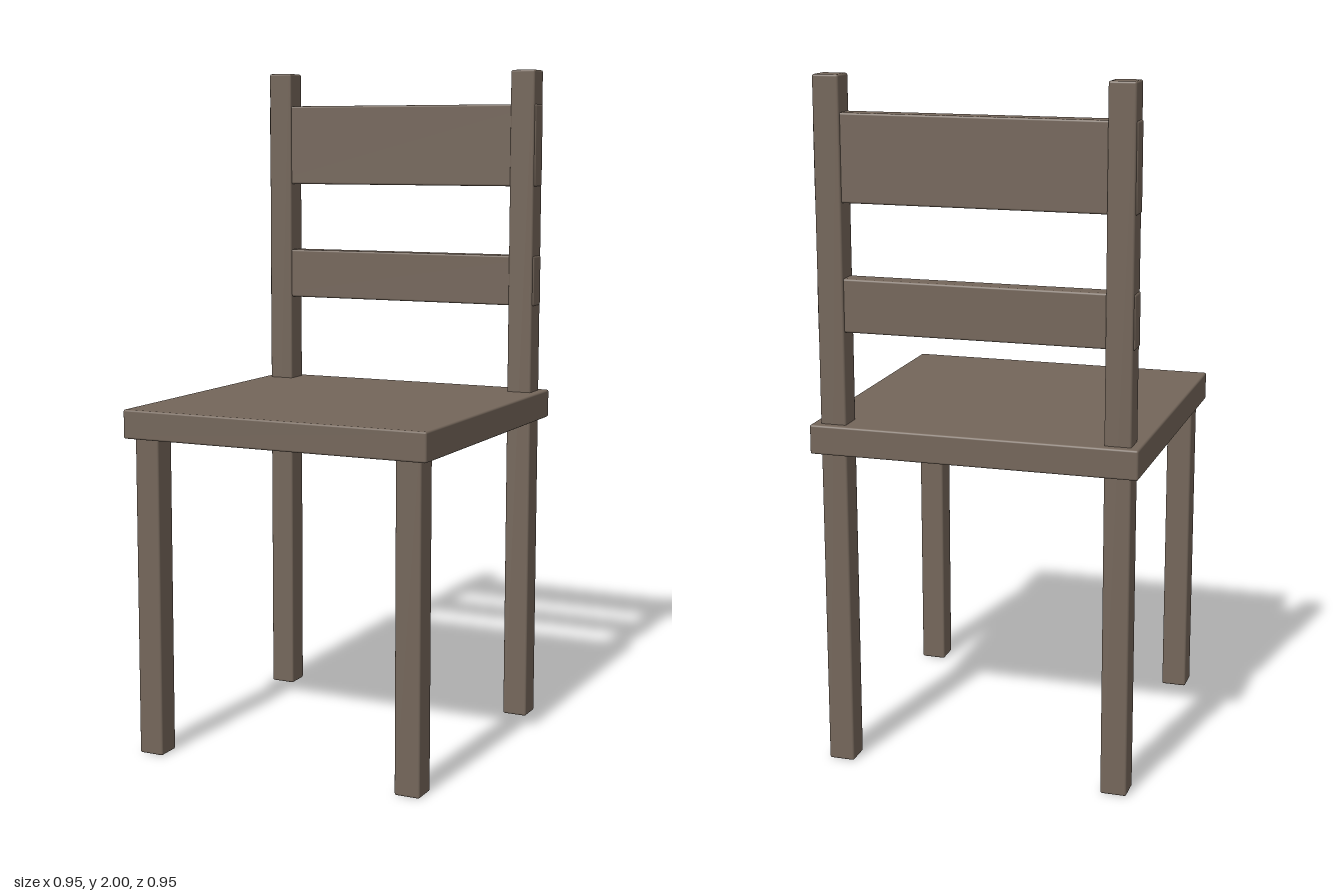
import * as THREE from 'three';
import { RoundedBoxGeometry } from 'three/addons/geometries/RoundedBoxGeometry.js';

export function createModel() {
  const chair = new THREE.Group();
  chair.name = 'chair';
  const wood = new THREE.MeshStandardMaterial({ color: 0x74665a });
  wood.name = 'brown wood';

  // Softly bevelled board given by its centre x, z and its bottom and top heights
  function board(name, x, z, bottom, top, width, depth) {
    const height = top - bottom;
    const mesh = new THREE.Mesh(new RoundedBoxGeometry(width, height, depth, 2, 0.006), wood);
    mesh.name = name;
    mesh.position.set(x, (bottom + top) / 2, z);
    chair.add(mesh);
  }

  // Seat
  board('seat', 0, 0, 0.94, 1.025, 0.95, 0.95);

  // Front legs stop in the seat; back posts run up to carry the backrest
  for (const [side, x] of [['left', 0.412], ['right', -0.412]]) {
    board(side + 'FrontLeg', x, 0.413, 0, 0.96, 0.076, 0.076);
    board(side + 'BackPost', x, -0.413, 0, 2, 0.076, 0.076);
  }

  // Backrest slats, their ends just showing through the posts
  board('upperSlat', 0, -0.412, 1.652, 1.898, 0.908, 0.062);
  board('lowerSlat', 0, -0.412, 1.29, 1.442, 0.908, 0.062);

  return chair;
}
